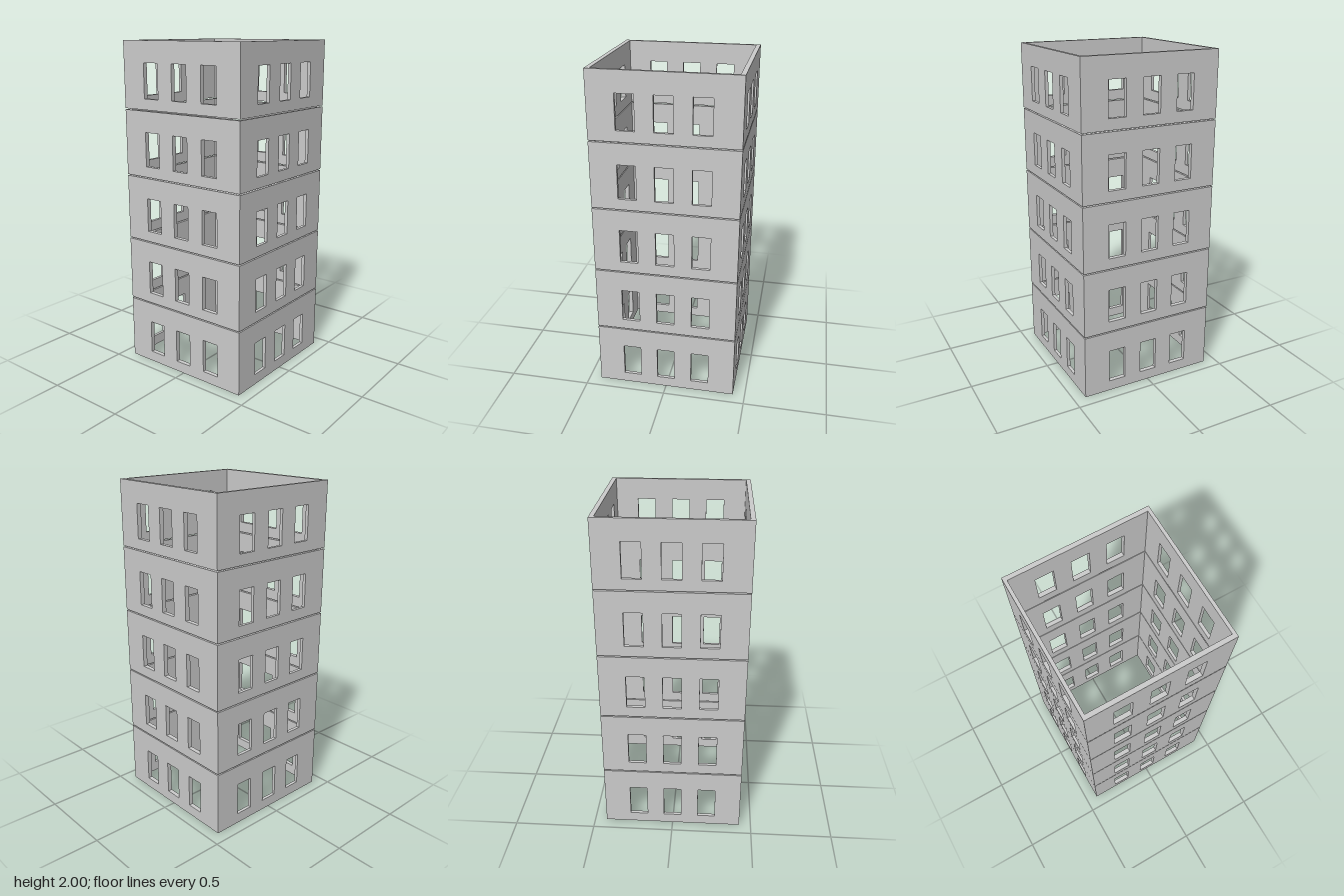
import * as THREE from 'three';

const HALF = 0.426;        // half of the outer width and depth
const HEIGHT = 0.394;      // wall height of one storey
const PITCH = 0.4015;      // storey spacing, leaving a thin open joint
const FACE = 0.027;        // front and back wall thickness
const SIDE = 0.02;         // side wall thickness
const WINDOW = { w: 0.108, y0: 0.064, y1: 0.269, spacing: 0.213 };

// Wall panel with three window holes, extruded from z = 0 to its thickness
function wallGeometry(halfWidth, thickness) {
  const shape = new THREE.Shape([
    new THREE.Vector2(-halfWidth, 0), new THREE.Vector2(halfWidth, 0),
    new THREE.Vector2(halfWidth, HEIGHT), new THREE.Vector2(-halfWidth, HEIGHT),
  ]);
  for (const i of [-1, 0, 1]) {
    const a = i * WINDOW.spacing - WINDOW.w / 2;
    const b = a + WINDOW.w;
    shape.holes.push(new THREE.Path([
      new THREE.Vector2(a, WINDOW.y0), new THREE.Vector2(a, WINDOW.y1),
      new THREE.Vector2(b, WINDOW.y1), new THREE.Vector2(b, WINDOW.y0),
    ]));
  }
  return new THREE.ExtrudeGeometry(shape, { depth: thickness, bevelEnabled: false });
}

export function createModel() {
  const model = new THREE.Group();
  model.name = 'tower';
  const material = new THREE.MeshStandardMaterial({ color: 0xcccccc, flatShading: true });

  // Front and back span the full width; the sides fit between them
  const faceGeometry = wallGeometry(HALF, FACE).translate(0, 0, HALF - FACE);
  const sideGeometry = wallGeometry(HALF - FACE, SIDE).translate(0, 0, HALF - SIDE);
  const walls = [
    ['frontWall', faceGeometry, 0],
    ['leftWall', sideGeometry, Math.PI / 2],
    ['backWall', faceGeometry, Math.PI],
    ['rightWall', sideGeometry, -Math.PI / 2],
  ];

  // Five identical storeys, open at top and bottom
  for (let i = 0; i < 5; i++) {
    const storey = new THREE.Group();
    storey.name = `storey${i + 1}`;
    storey.position.y = i * PITCH;
    for (const [name, geometry, angle] of walls) {
      const wall = new THREE.Mesh(geometry, material);
      wall.name = name;
      wall.rotation.y = angle;
      storey.add(wall);
    }
    model.add(storey);
  }
  return model;
}
